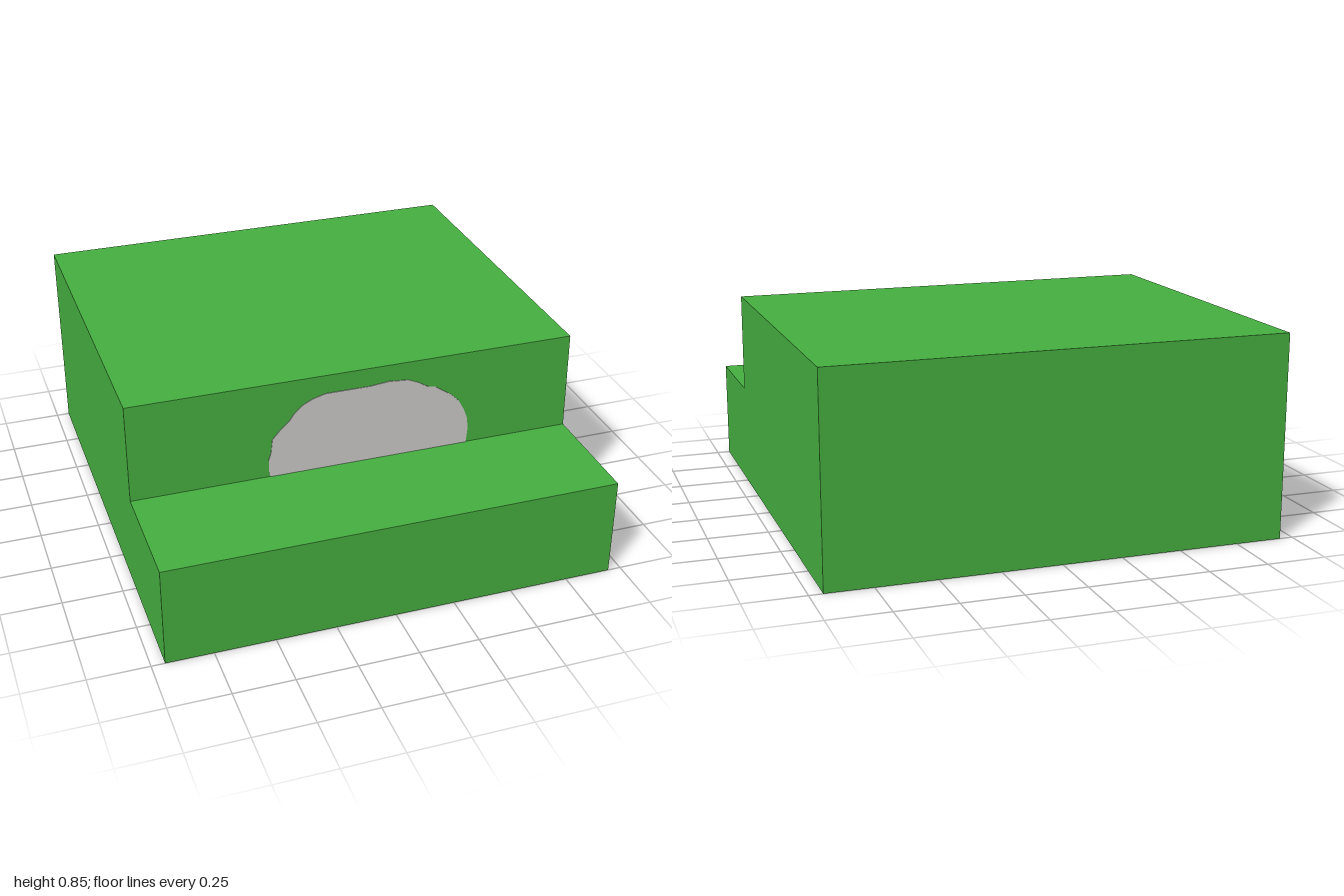
import * as THREE from 'three';

const WIDTH = 1.89, STEP_Y = 0.427, TOP_Y = 0.85;
const RISER_BOTTOM_Z = 0.507, RISER_TOP_Z = 0.5;

// depth of the slightly leaning riser at a given height
const riserZ = (y) =>
  THREE.MathUtils.mapLinear(y, STEP_Y, TOP_Y, RISER_BOTTOM_Z, RISER_TOP_Z);

const toShape = (points) => new THREE.Shape(points.map(([x, y]) => new THREE.Vector2(x, y)));

export function createModel() {
  const green = new THREE.MeshStandardMaterial({ color: 0x46af40 });
  green.name = 'green';
  const lightGrey = new THREE.MeshStandardMaterial({ color: 0xcccbca });
  lightGrey.name = 'light grey';

  const model = new THREE.Group();
  model.name = 'steppedBlock';

  // Stepped body: side profile (z, y) swept across the width
  const profile = toShape([
    [-1, 0], [1, 0], [1, STEP_Y], [RISER_BOTTOM_Z, STEP_Y + 0.003],
    [RISER_TOP_Z, TOP_Y], [-1, TOP_Y],
  ]);
  const bodyGeometry = new THREE.ExtrudeGeometry(profile, { depth: WIDTH, bevelEnabled: false });
  bodyGeometry.rotateY(-Math.PI / 2).translate(WIDTH / 2, 0, 0);
  const body = new THREE.Mesh(bodyGeometry, green);
  body.name = 'body';
  model.add(body);

  // Irregular rounded patch lying on the riser
  const outline = toShape([
    [-0.365, STEP_Y], [0.49, STEP_Y], [0.497, 0.5], [0.49, 0.55], [0.475, 0.59],
    [0.45, 0.635], [0.415, 0.67], [0.37, 0.7], [0.345, 0.718], [0.31, 0.725],
    [0.27, 0.75], [0.225, 0.77], [0.14, 0.778], [0.06, 0.77], [-0.13, 0.77],
    [-0.185, 0.755], [-0.225, 0.735], [-0.26, 0.705], [-0.285, 0.67], [-0.32, 0.64],
    [-0.355, 0.6], [-0.362, 0.54], [-0.372, 0.51], [-0.372, 0.45],
  ]);
  const patchGeometry = new THREE.ExtrudeGeometry(outline, { depth: 0.004, bevelEnabled: false });
  const position = patchGeometry.attributes.position;
  for (let i = 0; i < position.count; i++) {
    position.setZ(i, position.getZ(i) - 0.001 + riserZ(position.getY(i)));
  }
  patchGeometry.computeVertexNormals();
  const patch = new THREE.Mesh(patchGeometry, lightGrey);
  patch.name = 'riserPatch';
  model.add(patch);

  return model;
}
